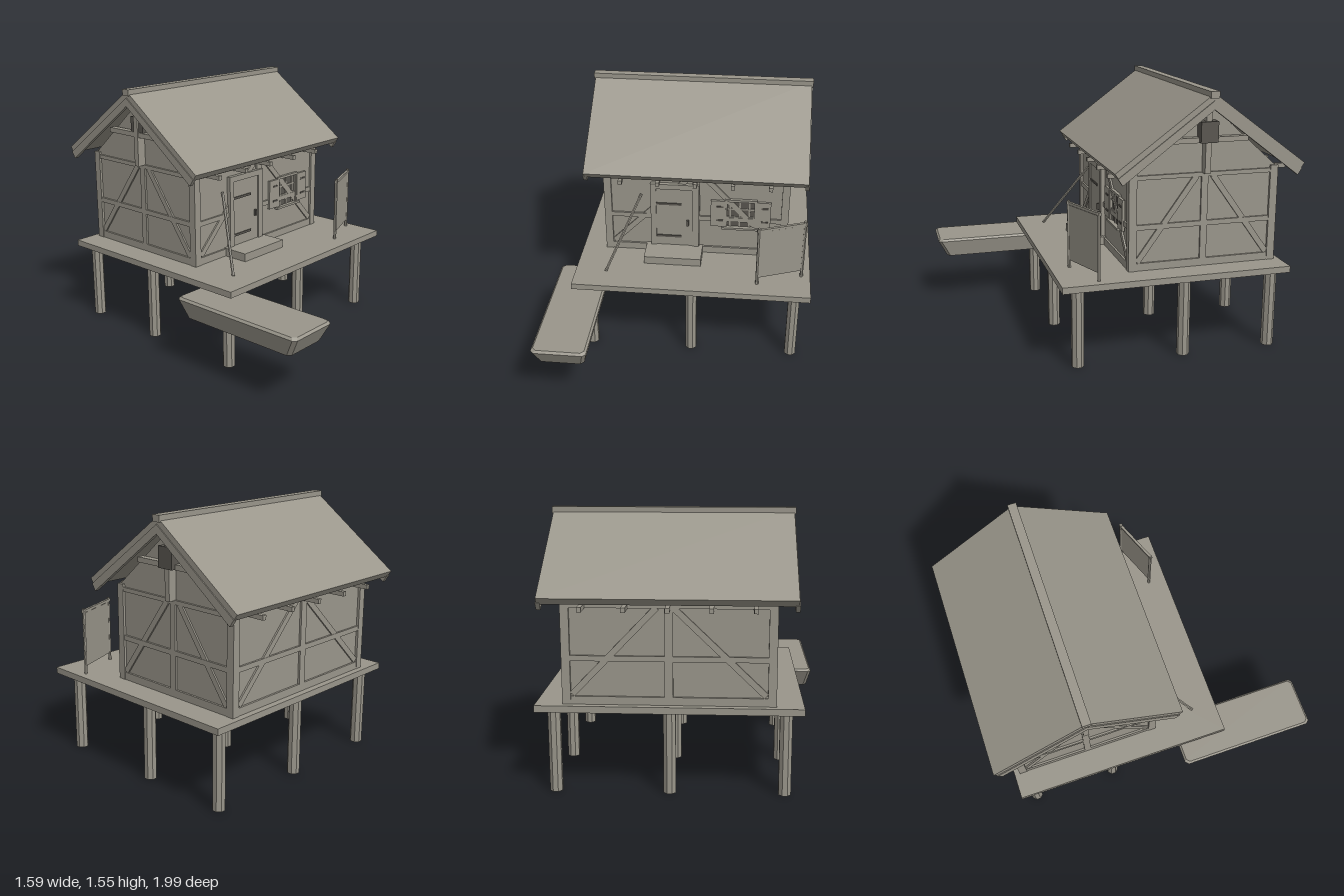
import * as THREE from 'three';

const wood = new THREE.MeshStandardMaterial({ color: 0x9a968b });
wood.name = 'weathered grey';
wood.flatShading = true;
const dark = new THREE.MeshStandardMaterial({ color: 0x595650 });
dark.name = 'dark grey';
dark.flatShading = true;

const V = (x, y, z) => new THREE.Vector3(x, y, z);

function add(parent, name, geo, mat = wood) {
  const m = new THREE.Mesh(geo, mat);
  m.name = name;
  parent.add(m);
  return m;
}

// axis-aligned box from its limits
function box(parent, name, x0, x1, y0, y1, z0, z1, mat) {
  const m = add(parent, name, new THREE.BoxGeometry(x1 - x0, y1 - y0, z1 - z0), mat);
  m.position.set((x0 + x1) / 2, (y0 + y1) / 2, (z0 + z1) / 2);
  return m;
}

// straight member between two points
function span(parent, name, a, b, geoOf) {
  const d = b.clone().sub(a);
  const m = add(parent, name, geoOf(d.length()));
  m.position.copy(a).add(b).multiplyScalar(0.5);
  m.quaternion.setFromUnitVectors(V(0, 1, 0), d.normalize());
  return m;
}

// outline of (z, y) points extruded along x
function extrudeX(parent, name, pts, x0, x1) {
  const shape = new THREE.Shape(pts.map(([z, y]) => new THREE.Vector2(-z, y)));
  const g = new THREE.ExtrudeGeometry(shape, { depth: x1 - x0, bevelEnabled: false });
  g.rotateY(Math.PI / 2).translate(x0, 0, 0);
  return add(parent, name, g);
}

// loft through rectangles with clipped corners: [y, halfX, halfZ]
function hullGeometry(sections, clip) {
  const pos = [], idx = [], n = 8;
  for (const [y, a, b] of sections) {
    const c = clip;
    [[a, b - c], [a, c - b], [a - c, -b], [c - a, -b], [-a, c - b], [-a, b - c], [c - a, b], [a - c, b]]
      .forEach(([x, z]) => pos.push(x, y, z));
  }
  for (let s = 0; s < sections.length - 1; s++) {
    for (let i = 0; i < n; i++) {
      const p = s * n + i, q = s * n + (i + 1) % n;
      idx.push(p, q, p + n, q, q + n, p + n);
    }
  }
  const top = (sections.length - 1) * n;
  for (let i = 1; i < n - 1; i++) idx.push(0, i + 1, i, top, top + i, top + i + 1);
  const g = new THREE.BufferGeometry();
  g.setAttribute('position', new THREE.Float32BufferAttribute(pos, 3));
  g.setIndex(idx);
  const flat = g.toNonIndexed();
  flat.computeVertexNormals();
  return flat;
}

export function createModel() {
  const root = new THREE.Group();
  root.name = 'stiltHouse';
  const group = (name) => {
    const g = new THREE.Group();
    g.name = name;
    root.add(g);
    return g;
  };

  // deck on nine piles
  const base = group('platform');
  box(base, 'deck', -0.67, 0.79, 0.477, 0.515, -0.92, 0.44);
  for (const x of [-0.575, 0.06, 0.695]) {
    for (const z of [0.335, -0.3, -0.84]) {
      const p = add(base, 'pile', new THREE.CylinderGeometry(0.037, 0.037, 0.48, 8));
      p.position.set(x, 0.24, z);
      p.rotation.y = Math.PI / 8;
    }
  }

  // boat moored at the corner
  const boat = add(root, 'boat', hullGeometry([[0.325, 0.135, 0.375], [0.432, 0.16, 0.43], [0.445, 0.148, 0.418]], 0.02));
  boat.position.set(-0.635, 0, 0.565);

  // house body with gables
  const house = group('house');
  const X0 = -0.52, X1 = 0.64, ZF = 0.02, ZB = -0.885, ZC = -0.4325, XC = 0.06, i = 0.015;
  extrudeX(house, 'walls', [
    [ZF - i, 0.515], [ZF - i, 1.09], [ZC, 1.48], [ZB + i, 1.09], [ZB + i, 0.515]], X0 + i, X1 - i);

  // timber framing
  const frame = group('timberFrame');
  for (const x of [X0, X1 - 0.047]) {
    for (const z of [ZB, ZF - 0.047]) box(frame, 'cornerPost', x, x + 0.047, 0.515, 1.09, z, z + 0.047);
  }
  const rails = [['sill', 0.515, 0.56], ['middleRail', 0.757, 0.787], ['topPlate', 1.048, 1.073]];
  const t = 0.03, e = 0.003;
  for (const z of [ZF - t - e, ZB + e]) {
    for (const [n, y0, y1] of rails) {
      const gaps = z > ZC && n !== 'topPlate' ? [[X0 + 0.04, -0.2], [0.05, X1 - 0.04]] : [[X0 + 0.04, X1 - 0.04]];
      for (const [a, b] of gaps) box(frame, n, a, b, y0, y1, z, z + t);
    }
    box(frame, 'middlePost', 0.037, 0.083, 0.515, 1.05, z, z + t);
    const zc = z + t / 2;
    const geo = (l) => new THREE.BoxGeometry(0.034, l, t - 0.004);
    const edge = z > ZC ? 0.01 : 0.035;
    span(frame, 'brace', V(-0.465, 0.57, zc), V(edge, 1.052, zc), geo);
    span(frame, 'brace', V(0.585, 0.57, zc), V(0.125, 1.052, zc), geo);
  }
  for (const s of [-1, 1]) {
    const xc = XC + s * (0.58 - t / 2 - e);
    for (const [n, y0, y1] of rails) box(frame, n, xc - t / 2, xc + t / 2, y0, y1, ZB + 0.04, ZF - 0.04);
    box(frame, 'middlePost', xc - t / 2, xc + t / 2, 0.515, 1.05, ZC - 0.02, ZC + 0.02);
    for (const k of [-1, 1]) {
      span(frame, 'brace', V(xc, 0.565, ZC + k * 0.4), V(xc, 1.052, ZC + k * 0.05),
        (l) => new THREE.BoxGeometry(t - 0.004, l, 0.034));
    }
    // gable tie, king post and vent
    const xg = XC + s * 0.59;
    box(frame, 'gableTie', xg - 0.025, xg + 0.015, 1.248, 1.278, ZC - 0.245, ZC + 0.245);
    box(frame, 'kingPost', xg - 0.03, xg + 0.025, 1.07, 1.48, ZC - 0.017, ZC + 0.017);
    box(frame, 'gableVent', xg - 0.02, xg + 0.04, 1.25, 1.37, ZC - 0.052, ZC + 0.052, dark);
  }
  for (let k = 0; k < 5; k++) {
    const x = -0.4 + k * 0.23;
    box(frame, 'ceilingJoist', x - 0.012, x + 0.012, 1.045, 1.071, -0.985, 0.115);
  }

  // roof slab, barge rafters and ridge
  const roof = group('roof');
  const bent = (h1, y1, a1, h2, y2, a2) => [
    [ZC + h1, y1], [ZC, a1], [ZC - h1, y1], [ZC - h2, y2], [ZC, a2], [ZC + h2, y2]];
  extrudeX(roof, 'roofSlab', bent(0.565, 1.118, 1.535, 0.54, 1.083, 1.485), -0.62, 0.742);
  for (const x of [-0.626, 0.724]) {
    extrudeX(roof, 'bargeRafter', bent(0.548, 1.09, 1.496, 0.522, 1.05, 1.445), x, x + 0.024);
  }
  box(roof, 'ridgeCap', -0.628, 0.75, 1.508, 1.546, ZC - 0.026, ZC + 0.026);

  // door with its frame, straps and step
  const door = group('door');
  box(door, 'doorPanel', -0.19, 0.037, 0.515, 0.977, -0.02, 0.022);
  box(door, 'doorPost', -0.225, -0.19, 0.515, 1.012, -0.02, 0.03);
  box(door, 'doorPost', 0.037, 0.08, 0.515, 1.012, -0.02, 0.03);
  box(door, 'lintel', -0.19, 0.037, 0.977, 1.012, -0.02, 0.03);
  for (const y of [0.625, 0.863]) box(door, 'hingeStrap', -0.19, -0.03, y, y + 0.014, 0.021, 0.028, dark);
  box(door, 'doorHandle', 0.002, 0.016, 0.72, 0.758, 0.02, 0.038, dark);
  box(root, 'doorStep', -0.255, 0.105, 0.515, 0.565, 0.005, 0.177);

  // shuttered window
  const win = group('window');
  box(win, 'pane', 0.25, 0.43, 0.72, 0.912, 0.0, 0.009, dark);
  for (const x of [0.275, 0.335, 0.395]) box(win, 'mullion', x - 0.005, x + 0.005, 0.72, 0.912, 0.005, 0.014);
  for (const y of [0.79, 0.85]) box(win, 'glazingBar', 0.25, 0.43, y - 0.005, y + 0.005, 0.005, 0.014);
  for (const [x, w] of [[0.24, 0.016], [0.425, 0.016]]) box(win, 'windowJamb', x, x + w, 0.72, 0.915, 0, 0.022);
  box(win, 'windowHead', 0.24, 0.441, 0.905, 0.92, 0, 0.024);
  box(win, 'windowSill', 0.225, 0.455, 0.708, 0.722, 0, 0.035);
  for (const [a, b] of [[0.153, 0.247], [0.434, 0.528]]) {
    box(win, 'shutter', a, b, 0.725, 0.91, 0.01, 0.026);
    for (const y of [0.765, 0.863]) box(win, 'shutterHinge', a + 0.035, b - 0.015, y, y + 0.011, 0.025, 0.03, dark);
  }

  // leaning pole
  span(root, 'leaningPole', V(-0.48, 0.517, 0.285), V(-0.283, 0.93, 0.02),
    (l) => new THREE.CylinderGeometry(0.009, 0.009, l, 6));

  // drying rack on the deck
  const rack = group('dryingRack');
  const a = V(0.463, 0, 0.325), b = V(0.735, 0, 0.22), len = a.distanceTo(b);
  rack.position.copy(a).add(b).multiplyScalar(0.5);
  rack.rotation.y = Math.atan2(a.z - b.z, b.x - a.x);
  for (const s of [-1, 1]) {
    const p = add(rack, 'rackPost', new THREE.CylinderGeometry(0.01, 0.01, 0.402, 6));
    p.position.set(s * len / 2, 0.716, 0);
  }
  box(rack, 'rackBar', -len / 2 - 0.012, len / 2 + 0.012, 0.893, 0.909, -0.008, 0.008);
  box(rack, 'hangingCloth', -len / 2, len / 2 + 0.01, 0.562, 0.89, -0.004, 0.004);

  return root;
}
